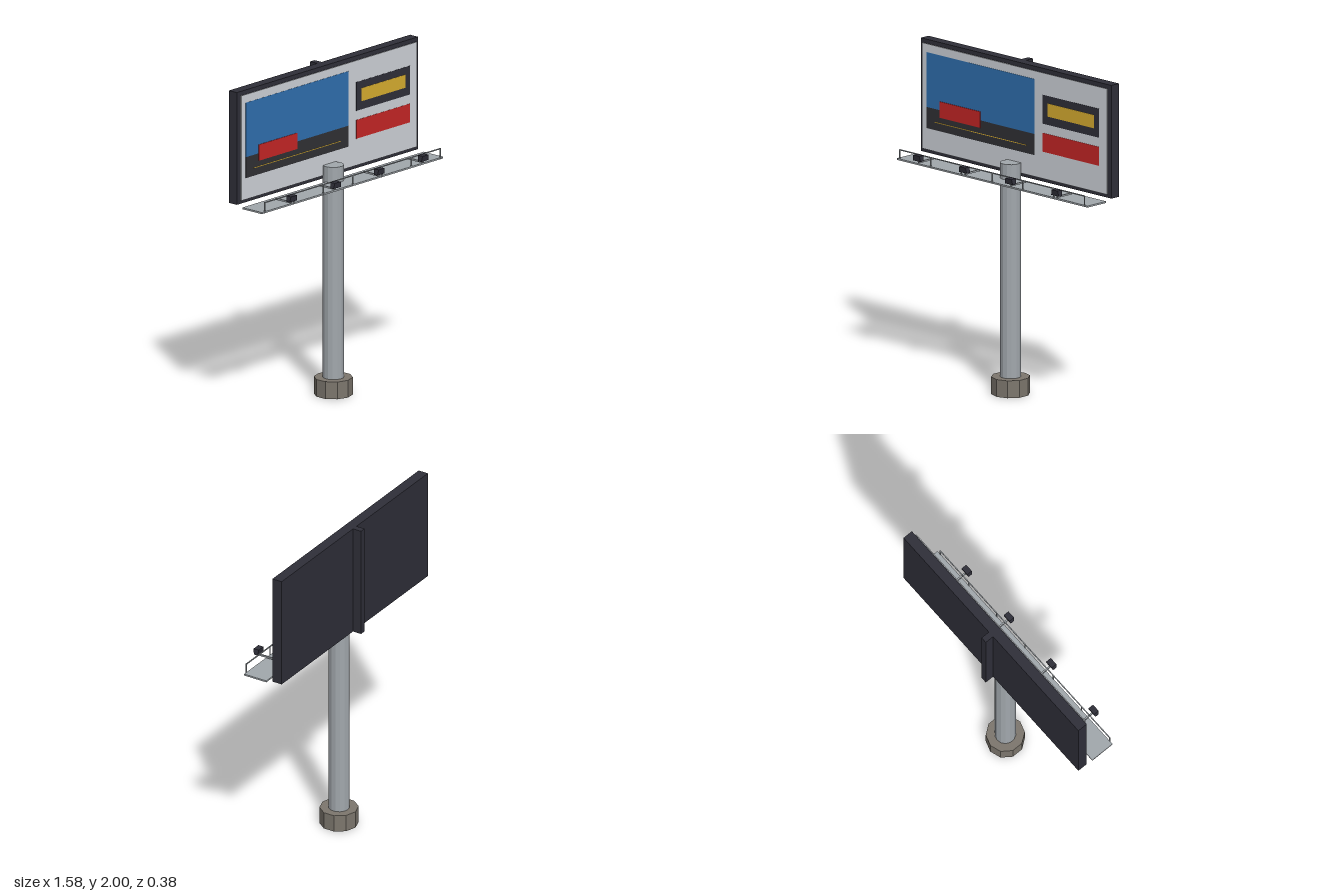
import * as THREE from 'three';

const paint = (name, color, flat = false) => {
  const m = new THREE.MeshStandardMaterial({ color, flatShading: flat });
  m.name = name;
  return m;
};

export function createModel() {
  const steel = paint('steel grey', 0xa2a8ad, true);
  const concrete = paint('concrete', 0x7d776e, true);
  const frameDark = paint('frame charcoal', 0x2f2f39);
  const panel = paint('panel white', 0xd0d4da);
  const blue = paint('sky blue', 0x2f6fb0);
  const road = paint('road dark', 0x313135);
  const red = paint('red', 0xc62626);
  const yellow = paint('yellow', 0xd9ae30);

  const model = new THREE.Group();
  model.name = 'billboard';

  const add = (name, geometry, material, x, y, z) => {
    const mesh = new THREE.Mesh(geometry, material);
    mesh.name = name;
    mesh.position.set(x, y, z);
    model.add(mesh);
    return mesh;
  };
  // Box given by its limits on each axis
  const box = (name, material, [x0, x1], [y0, y1], [z0, z1]) =>
    add(name, new THREE.BoxGeometry(x1 - x0, y1 - y0, z1 - z0), material,
      (x0 + x1) / 2, (y0 + y1) / 2, (z0 + z1) / 2);

  // Footing and pole
  const poleZ = -0.022;
  add('footing', new THREE.CylinderGeometry(0.115, 0.115, 0.105, 10), concrete, 0, 0.0525, poleZ);
  add('pole', new THREE.CylinderGeometry(0.063, 0.063, 1.3, 14), steel, 0, 0.75, poleZ);

  // Sign body with rear spine
  box('signFrame', frameDark, [-0.79, 0.79], [1.315, 2], [-0.132, -0.068]);
  box('rearSpine', frameDark, [-0.019, 0.019], [1.315, 2], [-0.188, -0.132]);
  box('signFace', panel, [-0.765, 0.765], [1.337, 1.977], [-0.06, -0.055]);

  // Painted picture on the left side of the face
  const layer = n => [-0.055, -0.055 + n * 0.0015];
  box('pictureSky', blue, [-0.728, 0.167], [1.595, 1.927], layer(1));
  box('pictureRoad', road, [-0.728, 0.167], [1.467, 1.595], layer(1));
  box('roadLine', yellow, [-0.66, 0.1], [1.513, 1.517], layer(2));
  box('pictureBlock', red, [-0.616, -0.281], [1.55, 1.648], layer(3));

  // Painted bands on the right side of the face
  box('bannerBack', frameDark, [0.235, 0.702], [1.67, 1.845], layer(1));
  box('bannerBar', yellow, [0.278, 0.66], [1.72, 1.8], layer(2));
  box('lowerBand', red, [0.235, 0.702], [1.5, 1.614], layer(1));

  // Service catwalk with guard rail
  box('catwalk', steel, [-0.79, 0.79], [1.297, 1.307], [-0.025, 0.13]);
  box('guardRail', steel, [-0.768, 0.768], [1.359, 1.365], [0.127, 0.133]);
  for (let i = -3; i <= 3; i++) {
    const x = i * 0.255;
    box('railPost', steel, [x - 0.003, x + 0.003], [1.3, 1.362], [0.127, 0.133]);
  }

  // Floodlights on arms, the housing tapering between top and bottom
  const lampGeo = new THREE.BoxGeometry(0.064, 0.034, 0.036);
  const p = lampGeo.attributes.position;
  for (let i = 0; i < p.count; i++) {
    if (p.getY(i) > 0) p.setX(i, p.getX(i) * 0.8);
    else p.setZ(i, p.getZ(i) * 0.7);
  }
  lampGeo.computeVertexNormals();
  for (const x of [-0.573, -0.191, 0.191, 0.573]) {
    box('lampArm', steel, [x - 0.005, x + 0.005], [1.323, 1.333], [0.047, 0.165]);
    box('lampStem', steel, [x - 0.005, x + 0.005], [1.323, 1.345], [0.157, 0.167]);
    add('lampHousing', lampGeo, frameDark, x, 1.355, 0.169);
  }
  return model;
}
